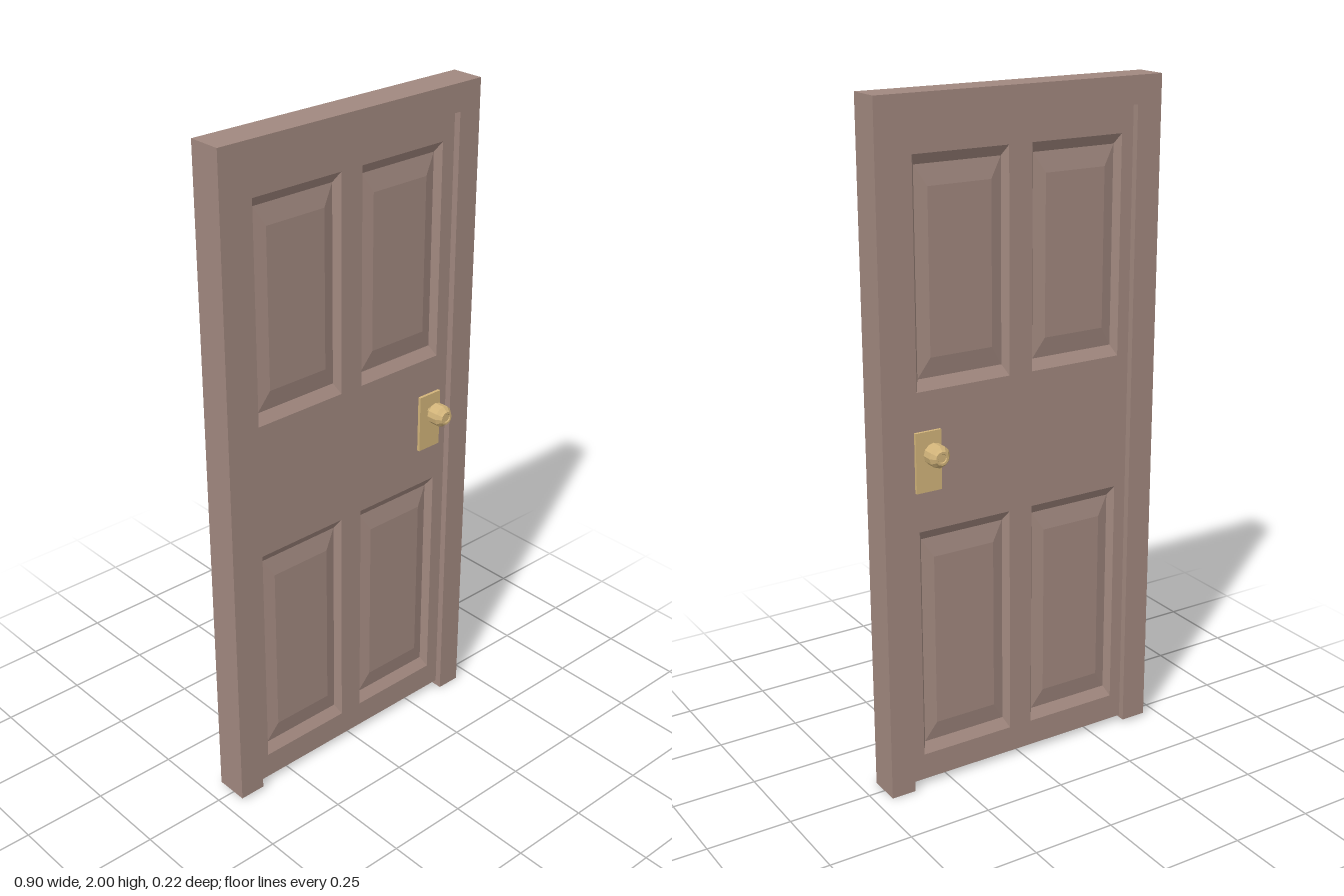
import * as THREE from 'three';

const wood = new THREE.MeshStandardMaterial({ color: 0xa1887f, flatShading: true });
const brass = new THREE.MeshStandardMaterial({ color: 0xd2b47a, flatShading: true });

const LEAF_Z = 0.03; // half thickness of the door leaf

function addMesh(parent, name, geometry, material, x = 0, y = 0, z = 0) {
  const mesh = new THREE.Mesh(geometry, material);
  mesh.name = name;
  mesh.position.set(x, y, z);
  parent.add(mesh);
  return mesh;
}

function boxBetween(parent, name, x0, x1, y0, y1, z0, z1, material) {
  const g = new THREE.BoxGeometry(x1 - x0, y1 - y0, z1 - z0);
  return addMesh(parent, name, g, material, (x0 + x1) / 2, (y0 + y1) / 2, (z0 + z1) / 2);
}

// Rectangle outline, counter-clockwise
const rect = (x0, x1, y0, y1) => [[x0, y0], [x1, y0], [x1, y1], [x0, y1]];

// Nested rectangles stepping down into the recess and up to the raised field
function panelGeometry(x0, x1, y0, y1) {
  const steps = [[0, 0, 0], [0.014, 0.03, -0.02], [0.05, 0.088, -0.01]];
  const position = [];
  for (const [dx, dy, dz] of steps) {
    for (const [x, y] of rect(x0 + dx, x1 - dx, y0 + dy, y1 - dy)) position.push(x, y, LEAF_Z + dz);
  }
  const index = [];
  for (let s = 0; s < steps.length - 1; s++) {
    for (let i = 0; i < 4; i++) {
      const j = (i + 1) % 4;
      const a = s * 4 + i, b = s * 4 + j;
      index.push(a, b, b + 4, a, b + 4, a + 4);
    }
  }
  const f = (steps.length - 1) * 4;
  index.push(f, f + 1, f + 2, f, f + 2, f + 3);
  const g = new THREE.BufferGeometry();
  g.setAttribute('position', new THREE.Float32BufferAttribute(position, 3));
  g.setIndex(index);
  g.computeVertexNormals();
  return g;
}

export function createModel() {
  const door = new THREE.Group();
  door.name = 'door';

  // Frame: two jambs and a head
  const frame = new THREE.Group();
  frame.name = 'frame';
  door.add(frame);
  boxBetween(frame, 'rightJamb', -0.45, -0.37, 0.01, 1.92, -0.05, 0.05, wood);
  boxBetween(frame, 'leftJamb', 0.375, 0.45, 0, 1.92, -0.05, 0.05, wood);
  boxBetween(frame, 'head', -0.45, 0.45, 1.92, 2, -0.05, 0.05, wood);

  // Leaf with four openings
  const openings = [];
  for (const [y0, y1] of [[0.097, 0.797], [1.203, 1.842]]) {
    openings.push([-0.332, -0.037, y0, y1], [0.037, 0.332, y0, y1]);
  }
  const toPoints = (r) => rect(...r).map(([x, y]) => new THREE.Vector2(x, y));
  const leafShape = new THREE.Shape(toPoints([-0.37, 0.375, 0.017, 1.92]));
  for (const o of openings) leafShape.holes.push(new THREE.Path(toPoints(o).reverse()));
  const leafGeometry = new THREE.ExtrudeGeometry(leafShape, { depth: LEAF_Z * 2, bevelEnabled: false });
  addMesh(door, 'leaf', leafGeometry, wood, 0, 0, -LEAF_Z);

  // Raised panels on both faces
  for (const o of openings) {
    const g = panelGeometry(...o);
    addMesh(door, 'frontPanel', g, wood);
    addMesh(door, 'backPanel', g, wood).rotation.y = Math.PI;
  }

  // Knob profile: radius, distance from the middle of the leaf
  const profile = [
    [0.009, 0.03], [0.009, 0.055], [0.026, 0.055], [0.032, 0.062], [0.032, 0.094],
    [0.024, 0.103], [0.02, 0.109], [0.014, 0.109], [0.012, 0.106], [0, 0.106],
  ].map(([r, d]) => new THREE.Vector2(r, d));
  const knobGeometry = new THREE.LatheGeometry(profile, 12).rotateX(Math.PI / 2);

  // Plate and knob on both faces
  for (const [side, s, knobY, out] of [['front', 1, 1.039, 0], ['back', -1, 1.034, 0.003]]) {
    const handle = new THREE.Group();
    handle.name = side + 'Handle';
    door.add(handle);
    addMesh(handle, 'plate', new THREE.BoxGeometry(0.08, 0.175, 0.01), brass, 0.303, 1.003, s * (LEAF_Z + 0.004));
    const knob = addMesh(handle, 'knob', knobGeometry, brass, 0.302, knobY, s * out);
    if (s < 0) knob.rotation.y = Math.PI;
  }

  return door;
}
